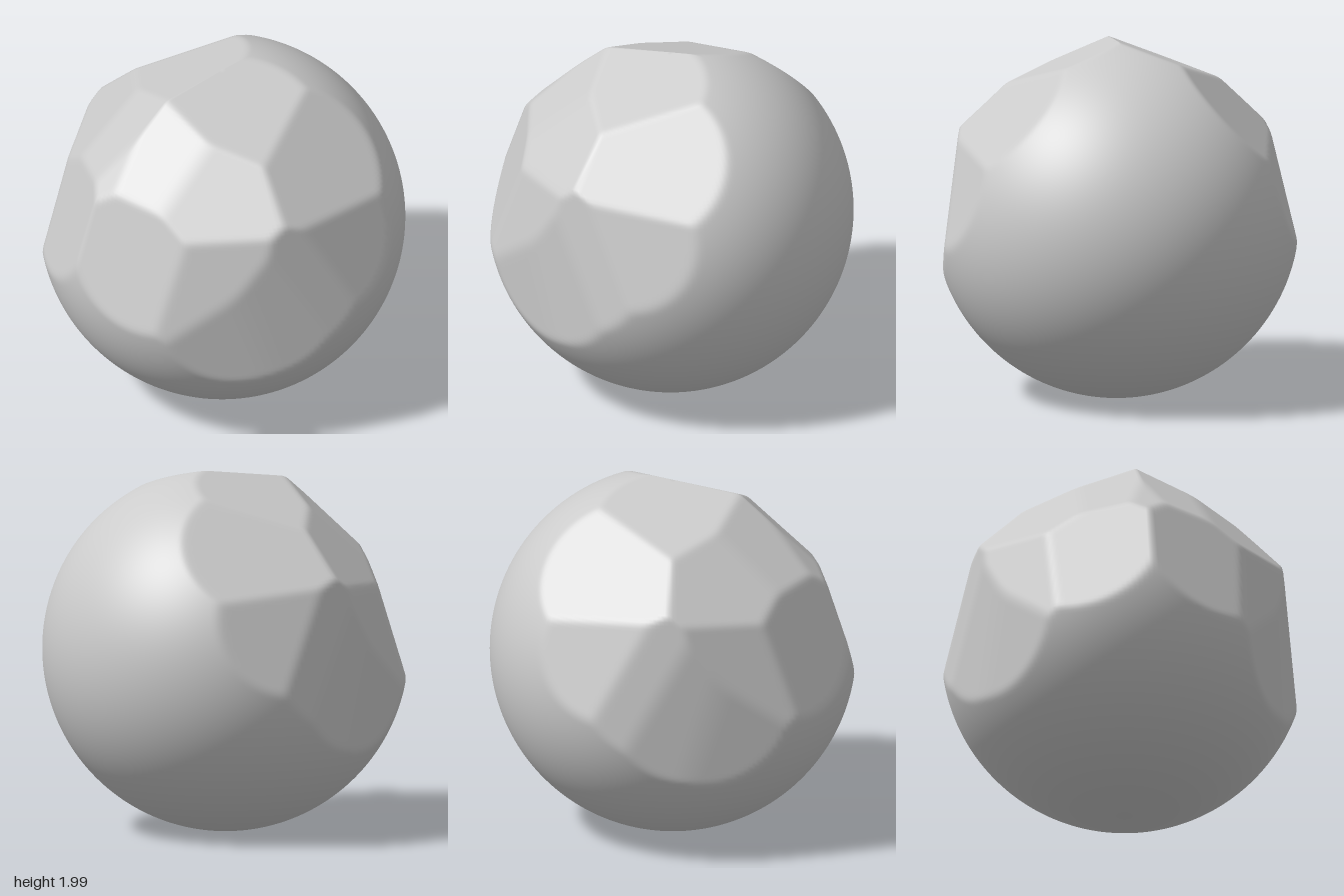
import * as THREE from 'three';
import { mergeVertices } from 'three/addons/utils/BufferGeometryUtils.js';

// Flat cuts on the +x half: normal x, y, z and distance from the ball's centre
const CUTS = [
  [0.70, 0.68, -0.15, 0.89],   // upper side
  [0.95, 0.27, -0.15, 0.92],   // rear side
  [0.95, 0.10, 0.17, 0.905],   // middle side
  [0.92, -0.02, 0.38, 0.885],  // lower side
  [0.87, -0.06, 0.49, 0.892],  // lower front side
  [0.75, 0.20, 0.63, 0.885],   // front corner
  [0.40, 0.30, 0.866, 0.888],  // front
  [0.55, 0.65, 0.52, 0.875],   // upper corner
  [0.35, 0.72, 0.60, 0.89],    // upper front
  [0.36, 0.92, 0.12, 0.897],   // top
  [0.00, 0.70, 0.714, 0.94],   // central front patch
].map(([x, y, z, d]) => ({ normal: new THREE.Vector3(x, y, z).normalize(), d }));

// Minimum with a slightly rounded crease
function softMin(a, b, k) {
  const h = Math.max(k - Math.abs(a - b), 0) / k;
  return Math.min(a, b) - h * h * k * 0.25;
}

// Distance from the centre to the cut surface along a direction
function radiusAlong(dir) {
  const mirrored = new THREE.Vector3(Math.abs(dir.x), dir.y, dir.z);
  let r = 1;
  for (const { normal, d } of CUTS) {
    const c = normal.dot(mirrored);
    if (c > 0.3) r = softMin(r, d / c, 0.012);
  }
  return r;
}

export function createModel() {
  const group = new THREE.Group();
  group.name = 'facetedBall';

  // Round ball whose front and upper sides are planed down
  let geometry = new THREE.SphereGeometry(1, 240, 160);
  geometry.deleteAttribute('uv');
  geometry.deleteAttribute('normal');
  geometry = mergeVertices(geometry, 1e-5);
  const pos = geometry.attributes.position;
  const dir = new THREE.Vector3();
  for (let i = 0; i < pos.count; i++) {
    dir.fromBufferAttribute(pos, i).normalize();
    dir.multiplyScalar(radiusAlong(dir));
    pos.setXYZ(i, dir.x, dir.y + 1, dir.z);
  }
  geometry.computeVertexNormals();

  const ball = new THREE.Mesh(geometry, new THREE.MeshStandardMaterial({ color: 0xcccccc }));
  ball.name = 'carvedBall';
  group.add(ball);
  return group;
}
